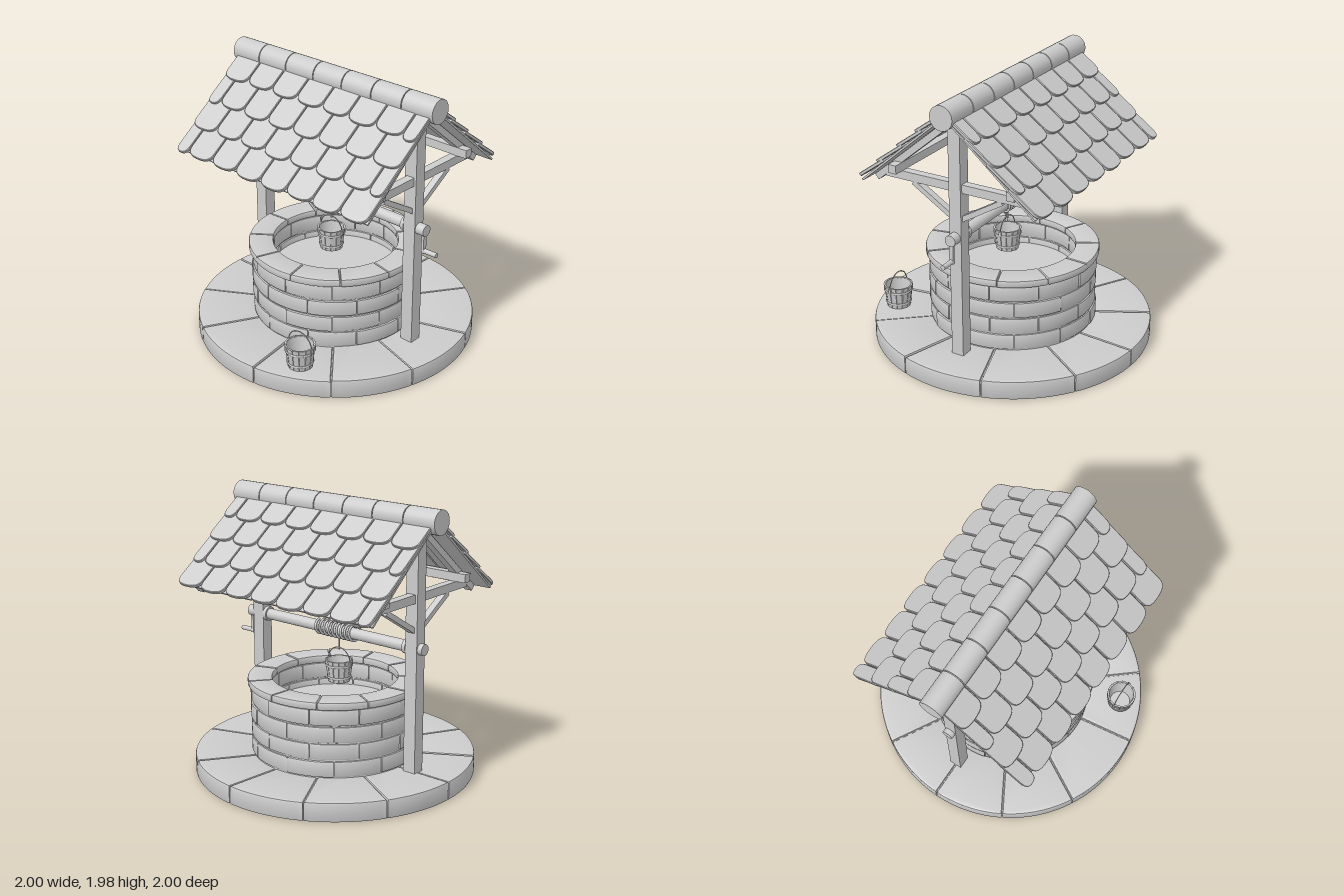
import * as THREE from 'three';
import { toCreasedNormals } from 'three/addons/utils/BufferGeometryUtils.js';

const clay = new THREE.MeshStandardMaterial({ color: 0xcccccc });
clay.name = 'plain grey';

export function createModel() {
  const model = new THREE.Group();
  model.name = 'well';

  let seed = 7;
  const rand = () => (seed = (seed * 16807) % 2147483647) / 2147483647;

  const group = (name, parent = model) => {
    const g = new THREE.Group();
    g.name = name;
    parent.add(g);
    return g;
  };
  const add = (parent, name, geo, x = 0, y = 0, z = 0) => {
    const m = new THREE.Mesh(geo, clay);
    m.name = name;
    m.position.set(x, y, z);
    parent.add(m);
    return m;
  };
  const box = (parent, name, w, h, d, x, y, z) => add(parent, name, new THREE.BoxGeometry(w, h, d), x, y, z);
  // round bar lying along x
  const bar = (parent, name, r, x0, x1, y, z = 0) =>
    add(parent, name, new THREE.CylinderGeometry(r, r, x1 - x0, 24).rotateZ(Math.PI / 2), (x0 + x1) / 2, y, z);
  // square timber between two points
  const beam = (parent, name, p, q, w, h) => {
    const a = new THREE.Vector3(...p), b = new THREE.Vector3(...q);
    const m = box(parent, name, w, h, a.distanceTo(b), 0, 0, 0);
    m.position.copy(a).lerp(b, 0.5);
    m.lookAt(b);
    return m;
  };

  // bevelled stone filling a sector of a ring
  const arcStone = (parent, name, r0, r1, y0, y1, a0, a1, b, gap) => {
    const i0 = (b + gap) / r0, i1 = (b + gap) / r1;
    const s = new THREE.Shape();
    s.absarc(0, 0, r1 - b, a0 + i1, a1 - i1, false);
    s.absarc(0, 0, r0 + b, a1 - i0, a0 + i0, true);
    const geo = new THREE.ExtrudeGeometry(s, {
      depth: y1 - y0 - 2 * b, bevelSize: b, bevelThickness: b, bevelSegments: 2, curveSegments: 8,
    });
    geo.translate(0, 0, b).rotateX(-Math.PI / 2);
    add(parent, name, toCreasedNormals(geo, 0.6), 0, y0, 0);
  };

  // paved base
  const base = group('base');
  add(base, 'baseCore', new THREE.CylinderGeometry(0.985, 0.985, 0.122, 72), 0, 0.061, 0);
  const joints = [17, 50, 82, 119, 150, 180, 210, 242, 275, 305, 342, 377].map((d) => -d * Math.PI / 180);
  for (let i = 0; i < 11; i++)
    arcStone(base, 'pavingSlab', 0.5, 1, 0, 0.14 - rand() * 0.006, joints[i + 1], joints[i], 0.012, 0.004);

  // round wall: mortar core, four brick courses and a coping ring
  const wall = group('wall');
  const ring = [[0.465, 0.13], [0.585, 0.13], [0.585, 0.665], [0.465, 0.665], [0.465, 0.13]];
  add(wall, 'mortar', toCreasedNormals(new THREE.LatheGeometry(ring.map((p) => new THREE.Vector2(...p)), 64), 0.6));
  const step = Math.PI * 2 / 11;
  for (let row = 0; row < 4; row++) {
    const y = 0.14 + row * 0.123;
    for (let i = 0; i < 11; i++) {
      const a = -Math.PI / 2 - 0.17 + (i + (row % 2) * 0.5) * step;
      arcStone(wall, 'brick', 0.452, 0.602 - rand() * 0.01, y + 0.004, y + 0.119, a, a + step, 0.012, 0.003);
    }
  }
  for (let i = 0; i < 11; i++) {
    const a = -Math.PI / 2 - 0.36 + i * step;
    arcStone(wall, 'copingStone', 0.445, 0.622 - rand() * 0.01, 0.63, 0.69 - rand() * 0.006, a, a + step, 0.012, 0.003);
  }
  add(wall, 'wellFloor', new THREE.CylinderGeometry(0.47, 0.47, 0.32, 48), 0, 0.30, 0);

  // timber frame
  const frame = group('frame');
  for (const s of [-1, 1]) {
    const x = s * 0.697;
    box(frame, 'post', 0.095, 1.70, 0.09, x, 0.97, 0);
    box(frame, 'crossBeam', 0.06, 0.06, 1.1, x, 1.37, 0);
    for (const t of [-1, 1]) {
      beam(frame, 'brace', [x, 1.14, t * 0.02], [x, 1.335, t * 0.34], 0.05, 0.036);
      beam(frame, 'rafter', [x, 1.845, 0], [x, 1.315, t * 0.63], 0.06, 0.045);
    }
  }
  for (const t of [-1, 1]) box(frame, 'purlin', 1.6, 0.06, 0.06, 0, 1.43, t * 0.45);

  // roof: boards under overlapping round-ended tiles
  const roof = group('roof');
  const slope = 0.707, apex = 1.905, pitch = 1.73 / 7.5;
  const tileGeometry = (w, l) => {
    const h = w / 2, s = new THREE.Shape();
    s.moveTo(-h, l);
    s.lineTo(-h, 0.075);
    s.bezierCurveTo(-h, 0.015, -h * 0.65, 0, 0, 0);
    s.bezierCurveTo(h * 0.65, 0, h, 0.015, h, 0.075);
    s.lineTo(h, l);
    const geo = new THREE.ExtrudeGeometry(s, {
      depth: 0.016, bevelSize: 0.004, bevelThickness: 0.004, bevelOffset: -0.004, bevelSegments: 1, curveSegments: 8,
    });
    return toCreasedNormals(geo, 0.6);
  };
  const fullTile = tileGeometry(pitch - 0.008, 0.28), halfTile = tileGeometry(pitch / 2 - 0.008, 0.28);
  for (const side of [1, -1]) {
    const half = group(side > 0 ? 'frontRoof' : 'backRoof', roof);
    half.rotation.y = side > 0 ? 0 : Math.PI;
    // place a mesh at distance d down the slope, lifted by n
    const lay = (m, x, d, n, tilt) => {
      m.position.set(x, apex - d * Math.sin(slope) + n * Math.cos(slope), d * Math.cos(slope) + n * Math.sin(slope));
      m.rotation.x = -(Math.PI / 2 - slope + tilt);
    };
    for (let i = 0; i < 10; i++)
      lay(box(half, 'roofBoard', 0.158, 0.82, 0.014, 0, 0, 0), (i - 4.5) * 0.172, 0.46, -0.008, 0);
    for (let row = 0; row < 4; row++) {
      let x = -0.865;
      for (let i = 0; i < 8; i++) {
        const isHalf = i === (row % 2 ? 7 : 0), w = isHalf ? pitch / 2 : pitch;
        const tile = add(half, 'roofTile', isHalf ? halfTile : fullTile);
        lay(tile, side * (x + w / 2), 0.902 - row * 0.208 + (rand() - 0.5) * 0.012, 0.022, 0.08);
        x += w;
      }
    }
  }
  for (let i = 0; i < 7; i++) {
    const x = -0.893 + i * 0.255;
    bar(roof, 'ridgeTile', 0.085, x, x + 0.248, 1.895);
  }
  bar(roof, 'ridgeCore', 0.075, -0.88, 0.88, 1.895);

  // windlass with crank and rope
  const windlass = group('windlass');
  bar(windlass, 'axle', 0.04, -0.78, 0.81, 1.02);
  for (const s of [-1, 1]) bar(windlass, 'collar', 0.052, s * 0.635 - 0.014, s * 0.635 + 0.014, 1.02);
  box(windlass, 'crankArm', 0.02, 0.17, 0.03, 0.79, 0.935, 0);
  bar(windlass, 'crankHandle', 0.017, 0.78, 0.9, 0.866);
  const coil = [];
  for (let i = 0; i <= 108; i++) {
    const a = i / 12 * Math.PI * 2;
    coil.push(new THREE.Vector3(-0.195 + i / 108 * 0.34, 1.02 + 0.052 * Math.cos(a), 0.052 * Math.sin(a)));
  }
  add(windlass, 'ropeCoil', new THREE.TubeGeometry(new THREE.CatmullRomCurve3(coil), 260, 0.009, 6));
  add(windlass, 'hangingRope', new THREE.CylinderGeometry(0.006, 0.006, 0.17, 8), 0, 0.945, 0.045);

  // staved bucket with hoops and a bail handle
  const bucket = (name, x, y, z, size) => {
    const g = group(name);
    g.position.set(x, y, z);
    g.scale.setScalar(size);
    const radius = (h) => 0.083 + h / 0.17 * 0.022;
    const profile = [[0, 0], [0.078, 0], [0.099, 0.166], [0.092, 0.166], [0.074, 0.015], [0, 0.015]];
    add(g, 'tub', toCreasedNormals(new THREE.LatheGeometry(profile.map((p) => new THREE.Vector2(...p)), 24), 0.6));
    for (let i = 0; i < 14; i++) {
      const geo = new THREE.BoxGeometry(0.043, 0.17, 0.012).translate(0, 0.085, 0);
      const p = geo.attributes.position;
      for (let k = 0; k < p.count; k++) {
        const r = radius(p.getY(k));
        p.setX(k, p.getX(k) * r / 0.105);
        p.setZ(k, p.getZ(k) + r - 0.006);
      }
      geo.computeVertexNormals();
      add(g, 'stave', geo).rotation.y = i / 14 * Math.PI * 2;
    }
    for (const h of [0.035, 0.13]) {
      const hoop = new THREE.TorusGeometry(radius(h) + 0.002, 0.005, 6, 32).rotateX(Math.PI / 2).scale(1, 1.7, 1);
      add(g, 'hoop', hoop, 0, h, 0);
    }
    add(g, 'handle', new THREE.TorusGeometry(0.106, 0.004, 6, 28, Math.PI), 0, 0.155, 0);
    for (const s of [-1, 1]) box(g, 'handleLug', 0.014, 0.03, 0.02, s * 0.106, 0.15, 0);
  };
  bucket('hangingBucket', 0, 0.63, 0.045, 0.94);
  bucket('standingBucket', 0.36, 0.14, 0.76, 1);

  return model;
}
